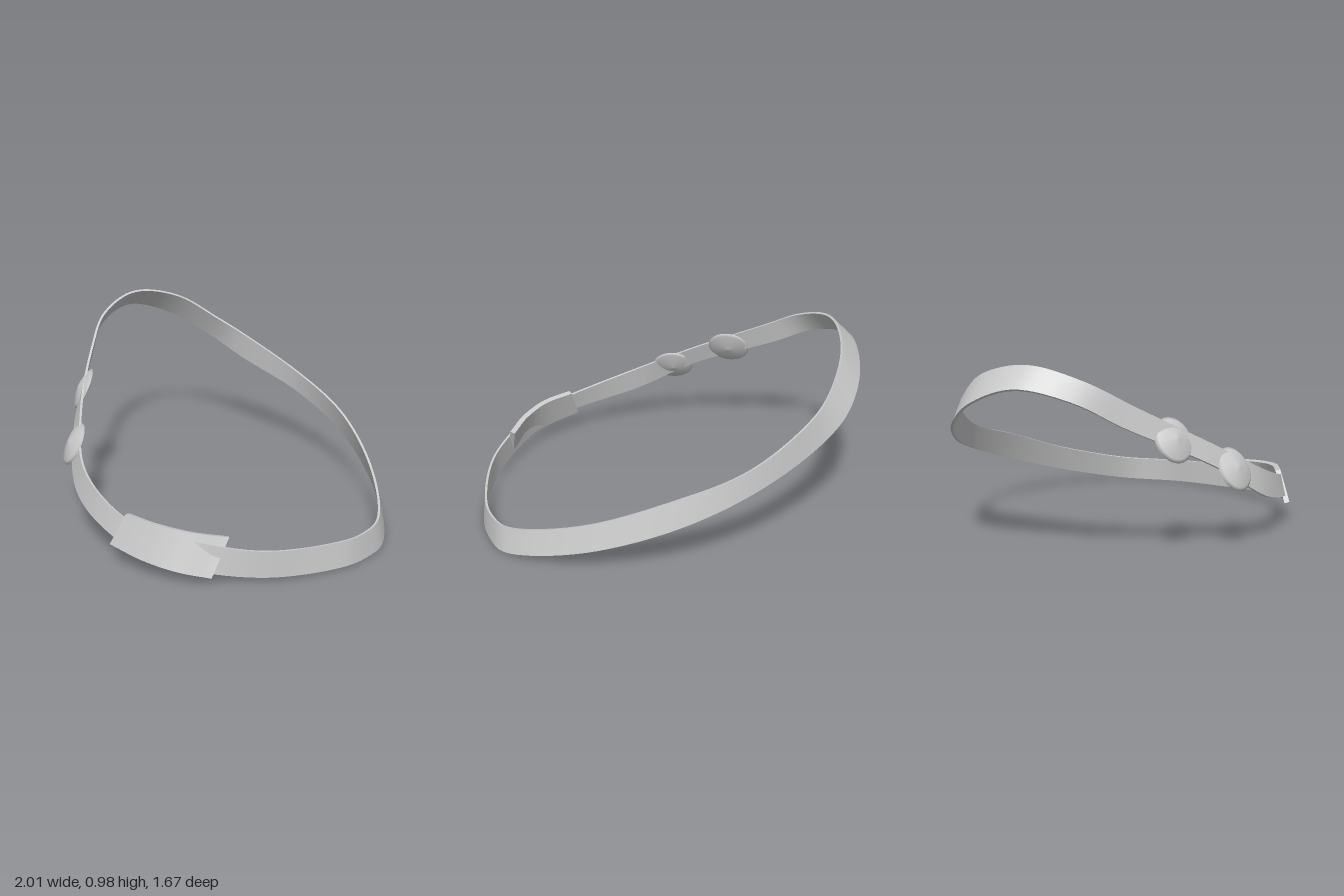
import * as THREE from 'three';

const material = new THREE.MeshStandardMaterial({ color: 0xcccccc, side: THREE.DoubleSide });

// Each station is the top edge x, y, z followed by the bottom edge x, y, z.
const strapStations = [
  // left side to front
  [-0.9, 0.97, -0.13, -1, 0.87, -0.15],
  [-0.84, 0.9, 0.12, -0.92, 0.81, 0.1],
  [-0.68, 0.77, 0.31, -0.75, 0.68, 0.28],
  [-0.35, 0.55, 0.59, -0.39, 0.45, 0.61],
  [-0.04, 0.375, 0.76, -0.08, 0.245, 0.785],
  [0.35, 0.26, 0.765, 0.33, 0.145, 0.8],
  [0.57, 0.235, 0.67, 0.57, 0.09, 0.7],
  // right side
  [0.86, 0.17, 0.35, 0.86, 0.03, 0.355],
  [0.98, 0.14, -0.05, 0.995, 0.005, -0.05],
  [0.98, 0.135, -0.22, 0.99, 0, -0.25],
  // back, round to the left side again
  [0.92, 0.145, -0.38, 0.94, 0.01, -0.4],
  [0.6, 0.25, -0.635, 0.62, 0.11, -0.66],
  [0.2, 0.4, -0.785, 0.2, 0.255, -0.815],
  [-0.2, 0.52, -0.805, -0.2, 0.39, -0.82],
  [-0.56, 0.68, -0.69, -0.6, 0.53, -0.7],
  [-0.7, 0.77, -0.59, -0.8, 0.645, -0.6],
  [-0.84, 0.91, -0.4, -0.94, 0.78, -0.42],
];

const sleeveStations = [
  [0.345, 0.283, 0.755, 0.295, 0.118, 0.822],
  [0.51, 0.274, 0.692, 0.48, 0.094, 0.765],
  [0.65, 0.253, 0.58, 0.635, 0.069, 0.675],
  [0.75, 0.23, 0.445, 0.75, 0.042, 0.55],
];

// Solid band between two edge curves, smooth along its length with sharp edges.
function bandGeometry(stations, thickness, count, closed) {
  const edge = (k) => new THREE.CatmullRomCurve3(
    stations.map((s) => new THREE.Vector3(s[k], s[k + 1], s[k + 2])), closed);
  const top = edge(0), bottom = edge(3);
  const rings = closed ? count : count + 1;
  const sections = [];
  for (let i = 0; i < rings; i++) {
    const t = i / count;
    const a = top.getPoint(t), b = bottom.getPoint(t);
    const along = top.getTangent(t).add(bottom.getTangent(t));
    const out = along.cross(a.clone().sub(b)).normalize().multiplyScalar(thickness / 2);
    sections.push([b.clone().add(out), a.clone().add(out), a.clone().sub(out), b.clone().sub(out)]);
  }
  const positions = [], index = [];
  for (let side = 0; side < 4; side++) {
    const base = positions.length / 3;
    for (const s of sections) {
      positions.push(...s[side].toArray(), ...s[(side + 1) % 4].toArray());
    }
    for (let i = 0; i < count; i++) {
      const p = base + i * 2, q = base + ((i + 1) % rings) * 2;
      index.push(p, q, q + 1, p, q + 1, p + 1);
    }
  }
  // End caps
  if (!closed) {
    for (const s of [sections[0], [...sections[rings - 1]].reverse()]) {
      const base = positions.length / 3;
      s.forEach((v) => positions.push(...v.toArray()));
      index.push(base, base + 1, base + 2, base, base + 2, base + 3);
    }
  }
  const geometry = new THREE.BufferGeometry();
  geometry.setAttribute('position', new THREE.Float32BufferAttribute(positions, 3));
  geometry.setIndex(index);
  geometry.computeVertexNormals();
  return geometry;
}

export function createModel() {
  const group = new THREE.Group();
  const add = (name, geometry) => {
    const mesh = new THREE.Mesh(geometry, material);
    mesh.name = name;
    group.add(mesh);
    return mesh;
  };

  // Tilted, twisting strap loop
  add('strap', bandGeometry(strapStations, 0.012, 153, true));

  // Wide sleeve wrapped round the front left of the strap
  add('sleeve', bandGeometry(sleeveStations, 0.028, 24, false));

  // Two pointed, lens-shaped studs
  const profile = [
    [0, -0.026], [0.05, -0.019], [0.1, -0.008], [0.116, 0],
    [0.1, 0.011], [0.05, 0.026], [0, 0.036],
  ].map(([r, h]) => new THREE.Vector2(r, h));
  const studGeometry = new THREE.LatheGeometry(profile, 40);
  const studs = [
    ['upperStud', [-0.542, 0.597, 0.455], [-0.42, 0.45, 0.78]],
    ['lowerStud', [-0.275, 0.417, 0.682], [-0.31, 0.48, 0.82]],
  ];
  for (const [name, position, facing] of studs) {
    const stud = add(name, studGeometry);
    stud.position.set(...position);
    stud.quaternion.setFromUnitVectors(
      new THREE.Vector3(0, 1, 0), new THREE.Vector3(...facing).normalize());
  }
  return group;
}
